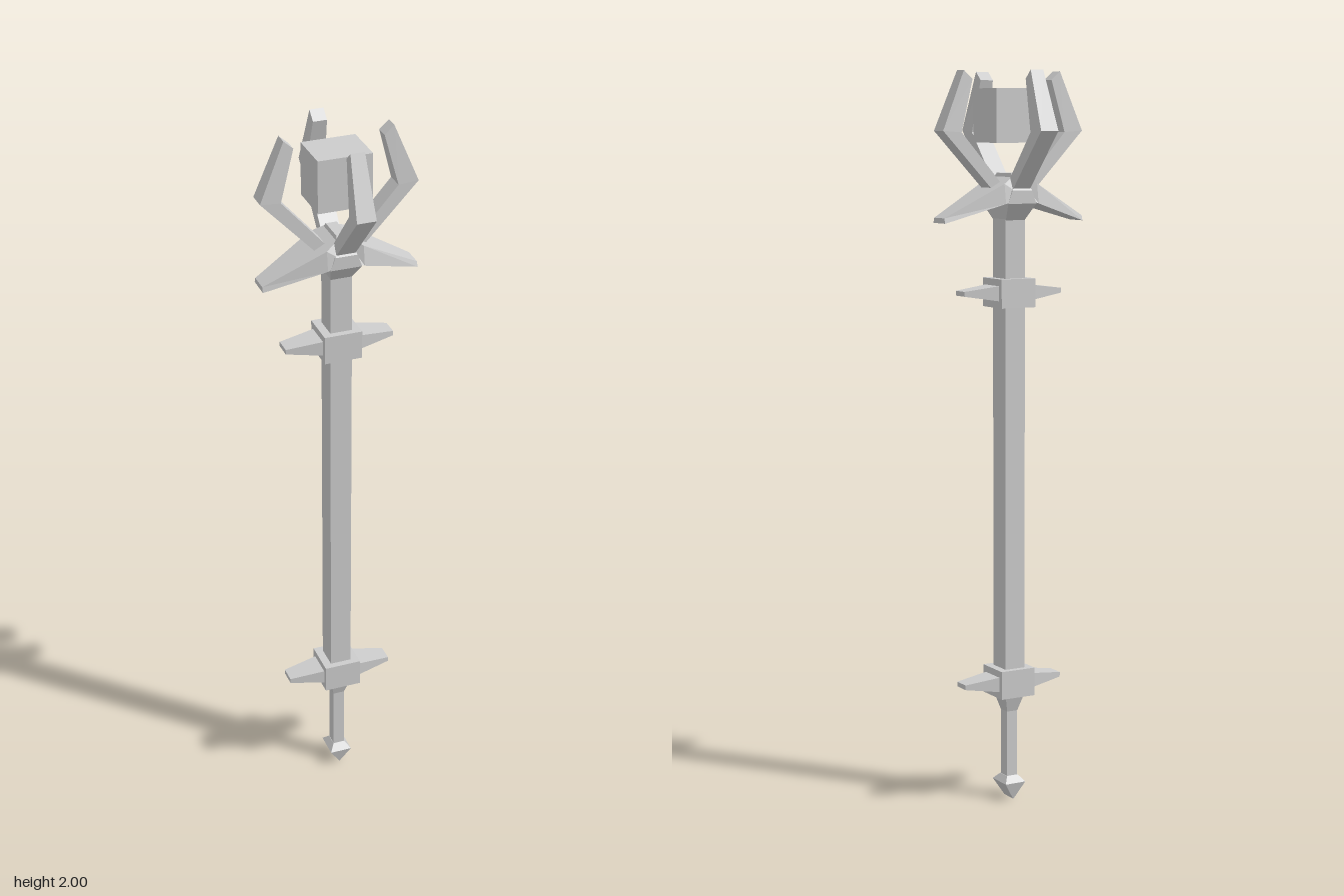
import * as THREE from 'three';

const material = new THREE.MeshStandardMaterial({ color: 0xcccccc, flatShading: true });

function add(parent, name, geometry) {
  const mesh = new THREE.Mesh(geometry, material);
  mesh.name = name;
  parent.add(mesh);
  return mesh;
}

// Faceted solid through rings of corners, counterclockwise seen from the far end
function loft(rings) {
  const pos = [];
  const tri = (a, b, c) => pos.push(...a, ...b, ...c);
  const n = rings[0].length;
  for (let i = 0; i < rings.length - 1; i++) {
    for (let j = 0; j < n; j++) {
      const k = (j + 1) % n;
      const [a, b, c, d] = [rings[i][j], rings[i][k], rings[i + 1][k], rings[i + 1][j]];
      tri(a, b, c);
      tri(a, c, d);
    }
  }
  const first = rings[0], last = rings[rings.length - 1];
  for (let j = 1; j < n - 1; j++) {
    tri(first[0], first[j + 1], first[j]);
    tri(last[0], last[j], last[j + 1]);
  }
  const geometry = new THREE.BufferGeometry();
  geometry.setAttribute('position', new THREE.Float32BufferAttribute(pos, 3));
  geometry.computeVertexNormals();
  return geometry;
}

// Horizontal rectangle: height, half width, half depth
const level = ([y, hx, hz]) => [[hx, y, hz], [hx, y, -hz], [-hx, y, -hz], [-hx, y, hz]];
// Upright trapezoid: x, top height, top half depth, bottom height, bottom half depth
const slice = ([x, yt, zt, yb, zb]) => [[x, yt, -zt], [x, yt, zt], [x, yb, zb], [x, yb, -zb]];
// Arm section: outer point, inner point, half thickness
const armRing = ([xo, yo, xi, yi, h]) => [[xo, yo, h], [xo, yo, -h], [xi, yi, -h], [xi, yi, h]];

export function createModel() {
  const model = new THREE.Group();
  model.name = 'staff';

  // Pommel ending in a wedge, with a thin grip that flares into the shaft
  add(model, 'pommel', loft([[0, 0.001, 0.024], [0.048, 0.031, 0.037], [0.066, 0.017, 0.019]].map(level)));
  add(model, 'shaft', loft([
    [0.06, 0.016, 0.018], [0.25, 0.016, 0.018], [0.3, 0.03, 0.034], [1.62, 0.03, 0.034],
  ].map(level)));

  // Collars, each with a pair of side spikes
  for (const y of [0.335, 1.41]) {
    const collar = new THREE.Group();
    collar.name = 'collar';
    collar.position.y = y;
    model.add(collar);
    add(collar, 'collarBlock', new THREE.BoxGeometry(0.104, 0.078, 0.104));
    const spike = loft([[0.04, 0.022, 0.04, -0.022, 0.04], [0.15, 0.008, 0.024, -0.005, 0.024]].map(slice));
    for (const turn of [0, Math.PI]) add(collar, 'collarSpike', spike).rotation.y = turn;
  }

  // Head socket
  add(model, 'socket', loft([
    [1.605, 0.029, 0.034], [1.65, 0.043, 0.072], [1.685, 0.03, 0.072], [1.73, 0.015, 0.04],
  ].map(level)));

  // Drooping wings
  const wing = loft([
    [0, 1.73, 0.04, 1.67, 0.072],
    [0.05, 1.703, 0.064, 1.65, 0.072],
    [0.212, 1.614, 0.028, 1.6, 0.033],
  ].map(slice));
  for (const turn of [0, Math.PI]) add(model, 'wing', wing).rotation.y = turn;

  // Four bent claws around the crystal
  const claw = loft([
    [0.045, 1.665, 0.018, 1.68, 0.026],
    [0.213, 1.842, 0.158, 1.838, 0.026],
    [0.147, 2, 0.121, 1.977, 0.019],
  ].map(armRing));
  for (let i = 0; i < 4; i++) add(model, 'claw', claw).rotation.y = i * Math.PI / 2;

  // Floating crystal block
  add(model, 'crystal', new THREE.BoxGeometry(0.147, 0.143, 0.126)).position.y = 1.882;

  return model;
}
